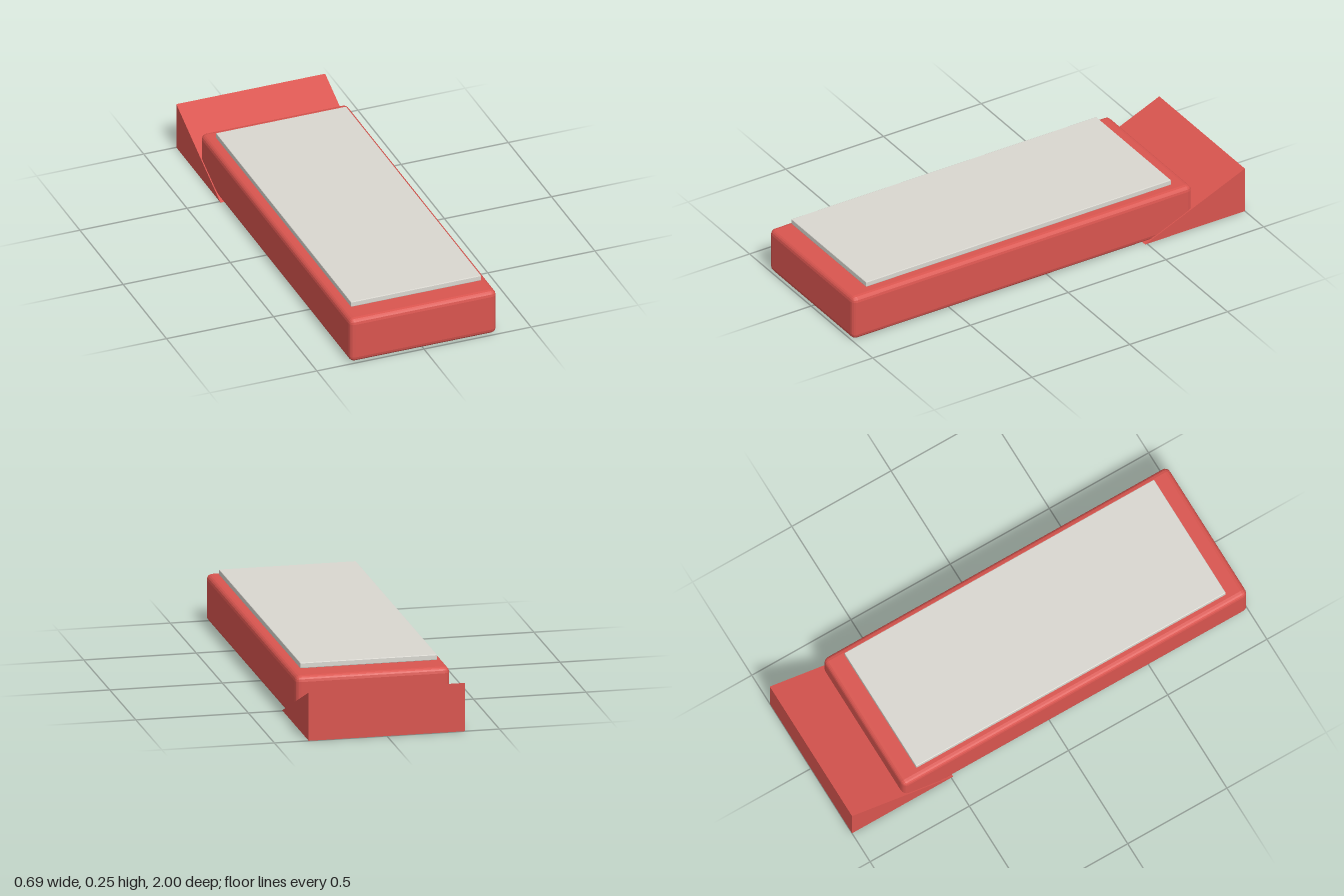
import * as THREE from 'three';
import { RoundedBoxGeometry } from 'three/addons/geometries/RoundedBoxGeometry.js';

export function createModel() {
  const red = new THREE.MeshStandardMaterial({ color: 0xd9554f });
  red.name = 'red';
  const paleGrey = new THREE.MeshStandardMaterial({ color: 0xd9d7d0 });
  paleGrey.name = 'paleGrey';

  const model = new THREE.Group();
  model.name = 'wedgeBlock';

  // Box with faceted, bevelled edges, given by its extents
  function bevelledBox(name, material, [x, y0, y1, z0, z1], radius, steps) {
    const geometry = new RoundedBoxGeometry(2 * x, y1 - y0, z1 - z0, steps, radius);
    geometry.clearGroups();
    geometry.computeVertexNormals();
    const mesh = new THREE.Mesh(geometry, material);
    mesh.name = name;
    mesh.position.set(0, (y0 + y1) / 2, (z0 + z1) / 2);
    model.add(mesh);
  }

  // Long main block and the thin plate floating just above it
  bevelledBox('body', red, [0.343, 0.003, 0.216, -0.737, 1], 0.025, 2);
  bevelledBox('topPlate', paleGrey, [0.304, 0.228, 0.253, -0.65, 0.91], 0.003, 1);

  // Ramp at the back: triangular side profile, drawn as (-z, y), extruded across x
  const width = 0.695;
  const profile = new THREE.Shape([
    new THREE.Vector2(0.49, 0),
    new THREE.Vector2(1, 0),
    new THREE.Vector2(1, 0.217),
  ]);
  const rampGeometry = new THREE.ExtrudeGeometry(profile, { depth: width, bevelEnabled: false });
  rampGeometry.translate(0, 0, -width / 2);
  rampGeometry.rotateY(Math.PI / 2);
  const ramp = new THREE.Mesh(rampGeometry, red);
  ramp.name = 'backRamp';
  model.add(ramp);

  return model;
}
